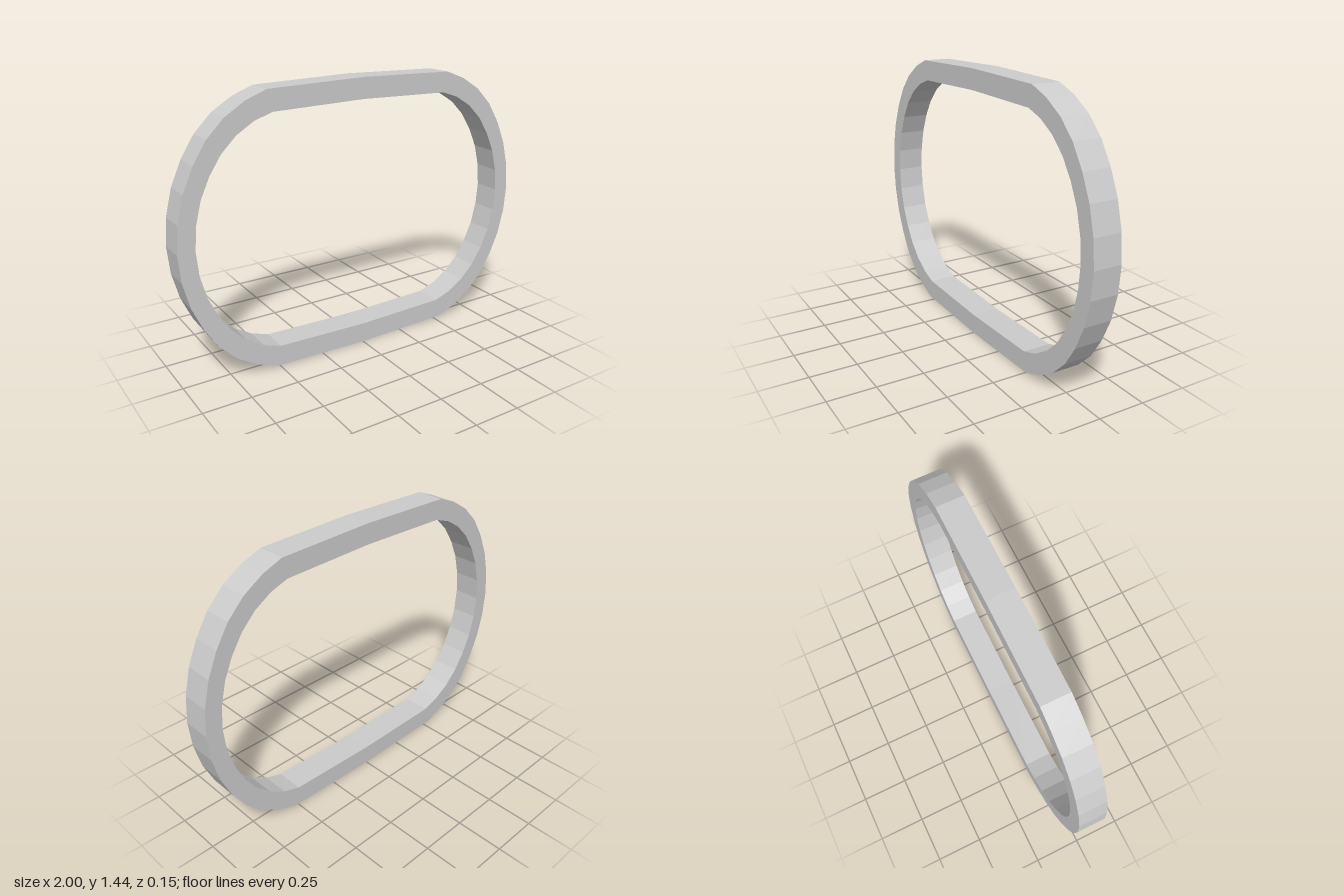
import * as THREE from 'three';

const HALF_HEIGHT = 0.72;
const DEPTH = 0.148;

// One quarter of each outline, from top centre to the side, measured from the ring's centre
const OUTER = [[0, 0.72], [0.524, 0.707], [0.633, 0.665], [0.738, 0.6], [0.828, 0.51], [0.898, 0.4], [0.953, 0.277], [0.988, 0.14], [1, 0]];
const INNER = [[0, 0.612], [0.5, 0.6], [0.594, 0.568], [0.684, 0.513], [0.762, 0.436], [0.824, 0.342], [0.872, 0.237], [0.902, 0.12], [0.912, 0]];

// Mirror a quarter outline into a full counter-clockwise loop
function closedLoop(quarter) {
  const right = [...quarter, ...quarter.slice(0, -1).reverse().map(([x, y]) => [x, -y])];
  const left = right.map(([x, y]) => [-x, y]);
  return [...left, ...right.slice(1, -1).reverse()].map(([x, y]) => new THREE.Vector2(x, y + HALF_HEIGHT));
}

export function createModel() {
  const group = new THREE.Group();
  group.name = 'ovalFrame';

  // Flat faceted band with an open middle
  const shape = new THREE.Shape(closedLoop(OUTER));
  shape.holes.push(new THREE.Path(closedLoop(INNER)));
  const geometry = new THREE.ExtrudeGeometry(shape, { depth: DEPTH, bevelEnabled: false });
  geometry.translate(0, 0, -DEPTH / 2);

  const ring = new THREE.Mesh(geometry, new THREE.MeshStandardMaterial({ color: 0xcccccc, flatShading: true }));
  ring.name = 'ring';
  group.add(ring);
  return group;
}
